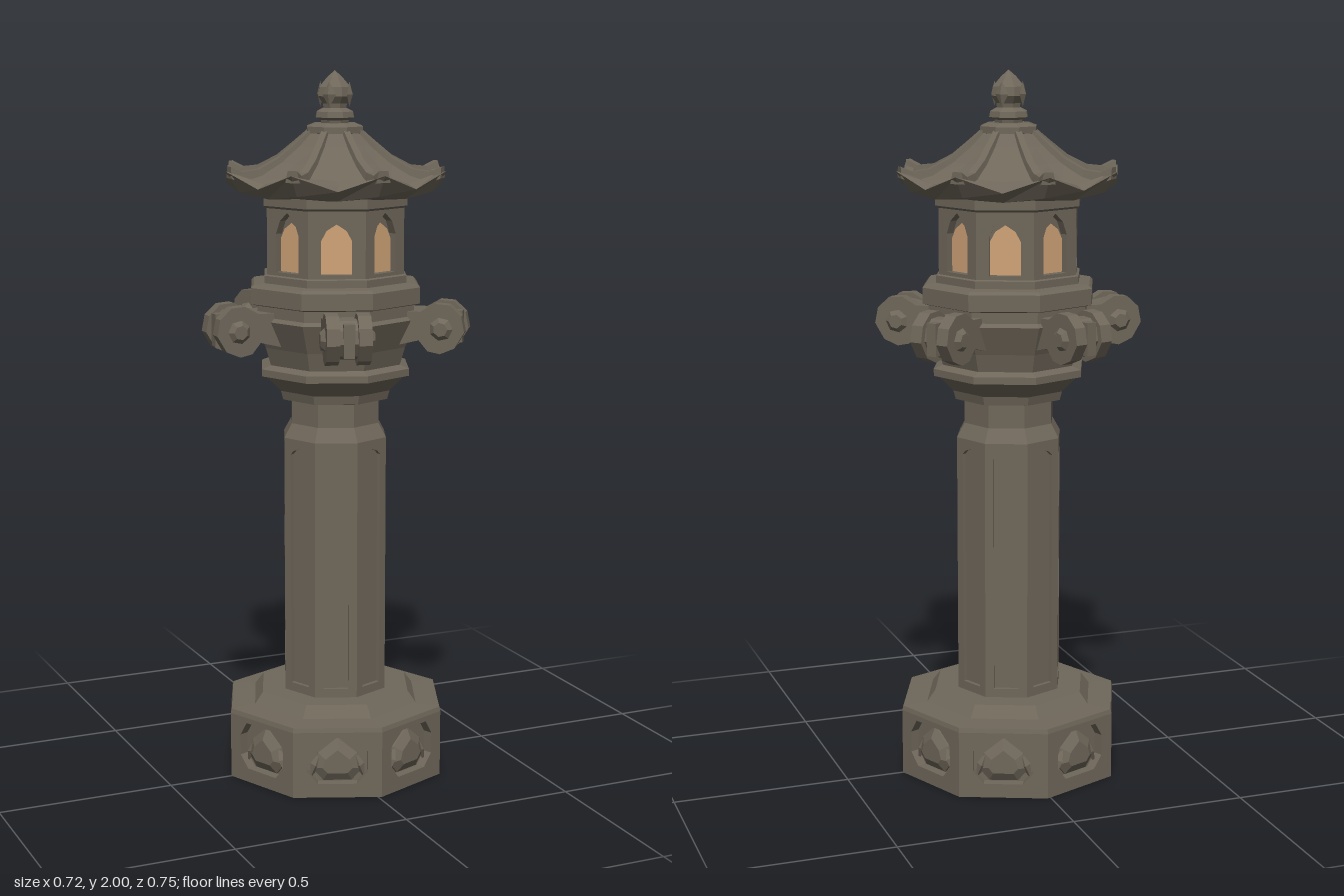
import * as THREE from 'three';

const stone = new THREE.MeshStandardMaterial({ color: 0x6f675a, flatShading: true });
stone.name = 'weathered stone';
const glow = new THREE.MeshStandardMaterial({ color: 0xd0a478, flatShading: true });
glow.name = 'warm window glow';

const SIDES = 8, STEP = Math.PI / 4;
const APOTHEM = Math.cos(STEP / 2), HALF = Math.sin(STEP / 2);

export function createModel() {
  const model = new THREE.Group();
  model.name = 'stoneLantern';
  const body = new THREE.Group();
  body.name = 'lanternBody';
  body.position.x = 0.01;
  model.add(body);

  const add = (name, geometry, parent = body, material = stone) => {
    const mesh = new THREE.Mesh(geometry, material);
    mesh.name = name;
    parent.add(mesh);
    return mesh;
  };
  // Octagonal turned part from [radius, height] pairs, bottom to top
  const turned = (name, points) =>
    add(name, new THREE.LatheGeometry(points.map(p => new THREE.Vector2(...p)), SIDES));
  // Group whose +z points outward at an angle measured from +x towards +z
  const facing = (name, angle) => {
    const g = new THREE.Group();
    g.name = name;
    g.rotation.y = Math.PI / 2 - angle;
    body.add(g);
    return g;
  };
  const outline = points => new THREE.Shape(points.map(p => new THREE.Vector2(...p)));
  // Pointed arch opening
  const arch = (w, y0, y1, shoulder) => [
    [-w, y0], [w, y0], [w, y1 - shoulder], [w * 0.65, y1 - shoulder * 0.4],
    [0, y1], [-w * 0.65, y1 - shoulder * 0.4], [-w, y1 - shoulder],
  ];
  // One wall of an octagon with an opening cut through it
  const wall = (name, parent, r, y0, y1, hole, depth) => {
    const w = r * HALF;
    const shape = outline([[-w, y0], [w, y0], [w, y1], [-w, y1]]);
    shape.holes.push(outline(hole));
    const mesh = add(name, new THREE.ExtrudeGeometry(shape, { depth, bevelEnabled: false }), parent);
    mesh.position.z = r * APOTHEM - depth;
  };

  // Base: core, carved sides and stepped top
  turned('baseCore', [[0, 0], [0.325, 0], [0.325, 0.02], [0.295, 0.02], [0.295, 0.19],
    [0.325, 0.19], [0.322, 0.203], [0.25, 0.207], [0.225, 0.24], [0.14, 0.24]]);
  // Shaft: inner core, neck and flared collar
  turned('shaftCore', [[0.143, 0.23], [0.143, 0.97], [0.155, 0.98], [0.132, 1.02],
    [0.132, 1.085], [0.155, 1.09]]);
  turned('bowl', [[0.13, 1.085], [0.158, 1.09], [0.165, 1.115], [0.205, 1.155], [0.222, 1.16],
    [0.222, 1.18], [0.195, 1.19], [0.21, 1.24], [0.245, 1.32], [0.235, 1.33], [0.235, 1.36],
    [0.253, 1.365], [0.253, 1.41], [0.245, 1.418], [0.18, 1.425]]);
  // Lantern room: solid inner core and cornice
  turned('roomCore', [[0.18, 1.42], [0.18, 1.66]]);
  turned('roomSill', [[0.2, 1.418], [0.213, 1.42], [0.213, 1.442], [0.2, 1.447]]);
  turned('roomCornice', [[0.2, 1.625], [0.214, 1.635], [0.214, 1.67]]);

  for (let i = 0; i < SIDES; i++) {
    const side = facing('side' + i, (i + 0.5) * STEP);
    // Base panel with a carved lotus bud
    wall('basePanel', side, 0.325, 0.02, 0.19, [[-0.055, 0.04], [0.055, 0.04], [0.085, 0.075],
      [0.085, 0.135], [0.06, 0.175], [-0.06, 0.175], [-0.085, 0.135], [-0.085, 0.075]], 0.028);
    const bud = outline([[-0.04, 0.045], [0.04, 0.045], [0.07, 0.08], [0.055, 0.125],
      [0, 0.17], [-0.055, 0.125], [-0.07, 0.08]]);
    add('lotusBud', new THREE.ExtrudeGeometry(bud, {
      depth: 0.006, bevelThickness: 0.016, bevelSize: 0.025, bevelOffset: -0.025, bevelSegments: 1,
    }), side).position.z = 0.275;
    for (const s of [-1, 1]) {
      const petal = add('sidePetal', new THREE.OctahedronGeometry(1), side);
      petal.scale.set(0.014, 0.045, 0.014);
      petal.rotation.z = s * 0.35;
      petal.position.set(s * 0.062, 0.09, 0.28);
    }
    // Fluted shaft panel
    wall('shaftPanel', side, 0.155, 0.235, 0.98, arch(0.035, 0.265, 0.955, 0.02), 0.014);
    // Window wall with its pane; two of the windows are unlit
    wall('windowWall', side, 0.205, 1.43, 1.655, arch(0.043, 1.455, 1.62, 0.06), 0.024);
    const lit = i % 4 !== 0;
    add(lit ? 'litPane' : 'darkPane',
      new THREE.ShapeGeometry(outline(arch(0.042, 1.456, 1.592, 0.045))),
      side, lit ? glow : stone).position.z = 0.205 * APOTHEM - 0.018;
  }

  // Roof: octagonal loft whose corners curl up; rows are radius, height, corner lift
  const rows = [[0.17, 1.655, 0], [0.26, 1.66, 0.008], [0.285, 1.662, 0.012], [0.325, 1.69, 0.042],
    [0.295, 1.703, 0.022], [0.283, 1.693, 0.014], [0.23, 1.712, 0.008], [0.17, 1.75, 0.003],
    [0.115, 1.796, 0], [0.07, 1.84, 0]];
  const position = [], index = [], N = SIDES * 2;
  rows.forEach(([r, y, lift], j) => {
    for (let k = 0; k < N; k++) {
      const a = k * STEP / 2, corner = k % 2 === 0, rr = corner ? r : r * APOTHEM;
      position.push(rr * Math.cos(a), y + (corner ? lift : 0), rr * Math.sin(a));
      if (j === rows.length - 1) continue;
      const p = j * N + k, q = j * N + (k + 1) % N;
      index.push(p, p + N, q, q, p + N, q + N);
    }
  });
  const roof = new THREE.BufferGeometry();
  roof.setAttribute('position', new THREE.Float32BufferAttribute(position, 3));
  roof.setIndex(index);
  roof.computeVertexNormals();
  add('roof', roof);

  // Roof ridges along the eight corners, widening towards the eaves
  const ridgePath = [[0.065, 1.838], [0.115, 1.797], [0.17, 1.754], [0.23, 1.724],
    [0.28, 1.718], [0.315, 1.733]];
  const ridgePos = [], ridgeIdx = [];
  ridgePath.forEach(([r, y], j) => {
    const w = 0.013 + 0.0015 * j;
    ridgePos.push(-w, y - 0.02, r, -w * 0.65, y + 0.012, r, w * 0.65, y + 0.012, r, w, y - 0.02, r);
    if (j) for (let k = 0; k < 3; k++) {
      const p = (j - 1) * 4 + k;
      ridgeIdx.push(p, p + 4, p + 1, p + 1, p + 4, p + 5);
    }
  });
  const end = (ridgePath.length - 1) * 4;
  ridgeIdx.push(end, end + 2, end + 1, end, end + 3, end + 2);
  const ridge = new THREE.BufferGeometry();
  ridge.setAttribute('position', new THREE.Float32BufferAttribute(ridgePos, 3));
  ridge.setIndex(ridgeIdx);
  ridge.computeVertexNormals();
  for (let i = 0; i < SIDES; i++) add('roofRidge', ridge, facing('ridge' + i, i * STEP));

  // Crown and finial
  turned('roofCrown', [[0.06, 1.825], [0.083, 1.83], [0.083, 1.848], [0.06, 1.857], [0, 1.857]]);
  turned('finial', [[0.04, 1.855], [0.042, 1.865], [0.057, 1.872], [0.054, 1.888], [0.034, 1.898],
    [0.036, 1.91], [0.05, 1.93], [0.046, 1.955], [0.022, 1.982], [0, 2]]);
  for (let i = 0; i < 4; i++) {
    const leaf = add('finialLeaf', new THREE.OctahedronGeometry(1),
      facing('leaf' + i, (i + 0.5) * Math.PI / 2));
    leaf.scale.set(0.02, 0.035, 0.01);
    leaf.position.set(0, 1.935, 0.043);
  }

  // Five scrolled brackets around the bowl, each of three ribs
  const scroll = s => outline([[0.19, 1.25], [0.25, 1.265], [0.275, 1.235], [0.31, 1.228],
    [0.35, 1.245], [0.377, 1.29], [0.368, 1.335], [0.335, 1.365], [0.295, 1.368],
    [0.255, 1.345], [0.19, 1.345]].map(([u, y]) =>
    u < 0.26 ? [u, y] : [0.31 + (u - 0.31) * s, 1.3 + (y - 1.3) * s]));
  const rib = (name, parent, x, width, s) => {
    const g = new THREE.ExtrudeGeometry(scroll(s), { depth: width, bevelEnabled: false });
    g.translate(0, 0, -width / 2);
    const mesh = add(name, g, parent);
    mesh.rotation.y = -Math.PI / 2;
    mesh.position.x = x;
  };
  for (let i = 0; i < 5; i++) {
    const bracket = facing('scrollBracket' + i, Math.PI + i * Math.PI * 0.4);
    rib('middleRib', bracket, 0, 0.06, 0.78);
    for (const s of [-1, 1]) {
      rib('outerRib', bracket, s * 0.043, 0.036, 1);
      const boss = add('scrollEye', new THREE.CylinderGeometry(0.02, 0.034, 0.014, 7), bracket);
      boss.rotation.z = -s * Math.PI / 2;
      boss.position.set(s * 0.067, 1.298, 0.312);
    }
    add('bracketKnob', new THREE.BoxGeometry(0.03, 0.09, 0.06), bracket).position.set(0, 1.3, 0.335);
  }
  return model;
}
